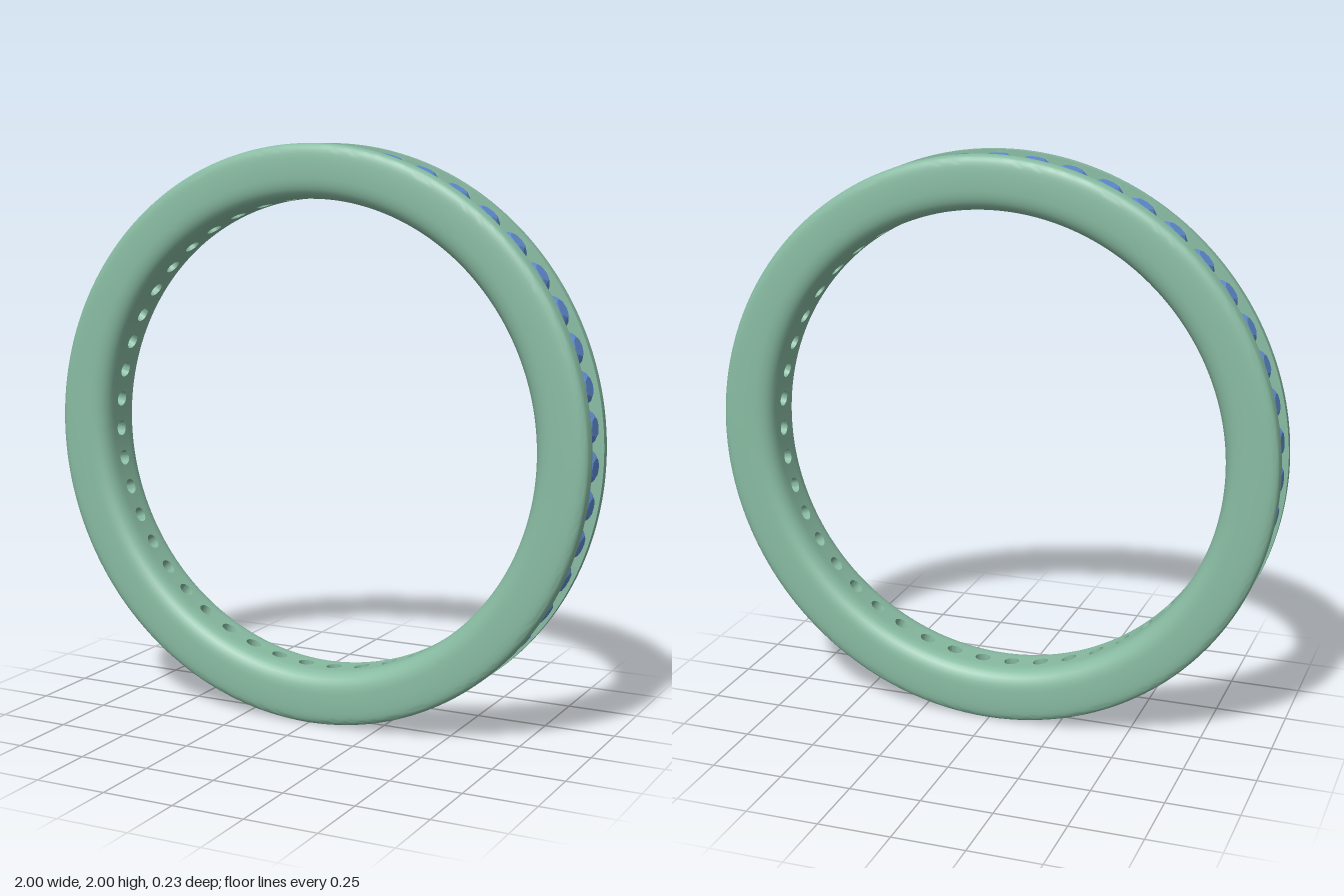
import * as THREE from 'three';
import { mergeGeometries, toCreasedNormals } from 'three/addons/utils/BufferGeometryUtils.js';
import { ConvexGeometry } from 'three/addons/geometries/ConvexGeometry.js';

const COUNT = 47;              // stones around the band
const STEP = (2 * Math.PI) / COUNT;
const SIDE = 6;                // subdivisions along each edge of a seat cell
const R_IN = 0.815, R_FLOOR = 0.935, R_OUT = 1;
const Z_IN = 0.05, Z_CHANNEL = 0.06, Z_OUT = 0.114;

function bare(geometry) {
  const g = geometry.index ? geometry.toNonIndexed() : geometry;
  g.deleteAttribute('normal');
  g.deleteAttribute('uv');
  return g;
}

// Rounded side rail, from the channel floor over the rim to the inner wall
function railGeometry() {
  const path = new THREE.Path();
  path.moveTo(R_FLOOR, Z_CHANNEL);
  path.lineTo(R_OUT, Z_CHANNEL);
  path.lineTo(R_OUT, 0.082);
  path.bezierCurveTo(R_OUT, 0.102, 0.985, 0.11, 0.955, 0.112);
  path.bezierCurveTo(0.93, Z_OUT, 0.9, Z_OUT, 0.875, 0.112);
  path.bezierCurveTo(0.84, 0.108, R_IN, 0.09, R_IN, Z_IN);
  return bare(new THREE.LatheGeometry(path.getPoints(7), COUNT * SIDE).rotateX(Math.PI / 2));
}

// One cell of the band: inner wall, drilled hole, conical seat and channel floor
function seatGeometry() {
  const square = [];
  const corners = [[1, -1], [1, 1], [-1, 1], [-1, -1]];
  corners.forEach(([u, v], k) => {
    const [u2, v2] = corners[(k + 1) % 4];
    for (let i = 0; i < SIDE; i++) {
      const t = i / SIDE;
      square.push([u + (u2 - u) * t, v + (v2 - v) * t]);
    }
  });
  // each loop: radius from the axis, hole radius, half width, blend from hole to cell edge
  const loops = [
    [R_IN, 0.027, Z_IN, 1], [R_IN, 0.027, Z_IN, 0.5], [R_IN, 0.027, Z_IN, 0],
    [0.88, 0.027, Z_IN, 0], [R_FLOOR, 0.055, Z_CHANNEL, 0],
    [R_FLOOR, 0.055, Z_CHANNEL, 1],
  ];
  const n = square.length, pos = [], index = [];
  for (const [r, hole, halfZ, blend] of loops) {
    for (const [u, v] of square) {
      const len = Math.hypot(u, v);
      const angle = THREE.MathUtils.lerp((hole * u) / len / r, (u * STEP) / 2, blend);
      const z = THREE.MathUtils.lerp((hole * v) / len, v * halfZ, blend);
      pos.push(r * Math.sin(angle), r * Math.cos(angle), z);
    }
  }
  for (let j = 0; j < loops.length - 1; j++) {
    for (let i = 0; i < n; i++) {
      const a = j * n + i, b = j * n + ((i + 1) % n);
      index.push(a, b, b + n, a, b + n, a + n);
    }
  }
  const g = new THREE.BufferGeometry();
  g.setAttribute('position', new THREE.Float32BufferAttribute(pos, 3));
  g.setIndex(index);
  return bare(g);
}

// Round brilliant-cut stone: table, crown, girdle and pointed pavilion
function gemGeometry() {
  const points = [new THREE.Vector3(0, 0.905, 0)];
  const ring = (count, r, y, turn = 0) => {
    for (let i = 0; i < count; i++) {
      const a = ((i + turn) / count) * 2 * Math.PI;
      points.push(new THREE.Vector3(r * Math.cos(a), y, r * Math.sin(a)));
    }
  };
  ring(8, 0.033, 0.993);
  ring(8, 0.05, 0.981, 0.5);
  ring(16, 0.0615, 0.964);
  ring(16, 0.0615, 0.958);
  return new ConvexGeometry(points);
}

export function createModel() {
  const model = new THREE.Group();
  const ring = new THREE.Group();
  ring.name = 'ring';
  ring.position.y = 1;
  model.add(ring);

  const metal = new THREE.MeshStandardMaterial({ color: 0x88bba2 });
  const stone = new THREE.MeshStandardMaterial({ color: 0x5f8bd0, flatShading: true });

  // Band: two mirrored rails joined by the drilled seats
  const seat = seatGeometry();
  const parts = [railGeometry(), railGeometry().rotateY(Math.PI)];
  for (let i = 0; i < COUNT; i++) parts.push(seat.clone().rotateZ(-i * STEP));
  const band = new THREE.Mesh(toCreasedNormals(mergeGeometries(parts), 0.6), metal);
  band.name = 'band';
  ring.add(band);

  // Stones set all the way round, the first at the top
  const stones = new THREE.Group();
  stones.name = 'stones';
  const gem = gemGeometry();
  for (let i = 0; i < COUNT; i++) {
    const mesh = new THREE.Mesh(gem, stone);
    mesh.name = 'stone';
    mesh.rotation.z = -i * STEP;
    stones.add(mesh);
  }
  ring.add(stones);
  return model;
}
